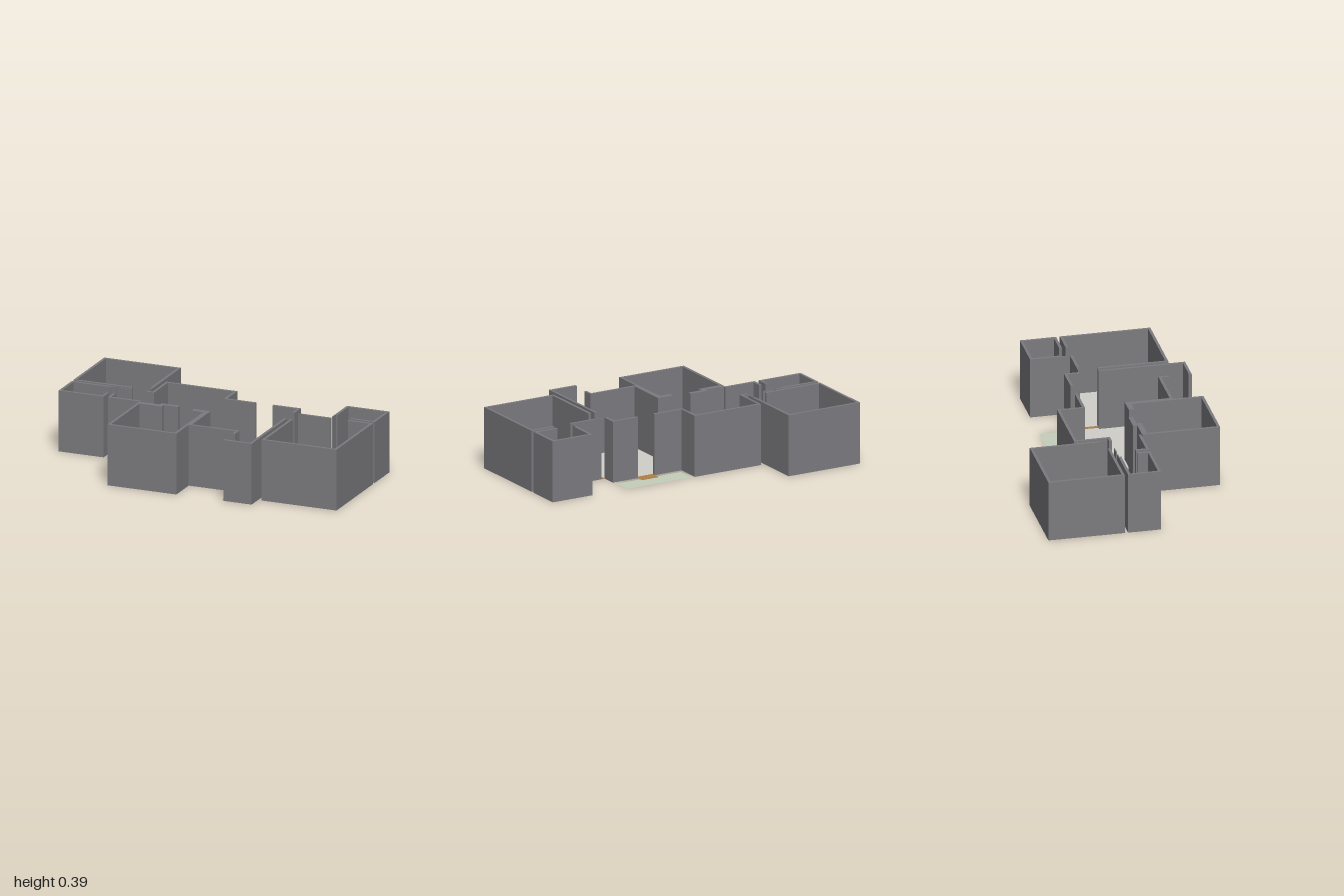
import * as THREE from 'three';

const HEIGHT = 0.387;
const THICK = 0.017;
const THIN = 0.006;

const paint = (color) => new THREE.MeshStandardMaterial({ color, side: THREE.DoubleSide });
const toShape = (pts) => new THREE.Shape(pts.map(([x, z]) => new THREE.Vector2(x, -z)));

// Mitred wall ribbon: points follow the outer edge clockwise from above, thickness goes inward
function wallGeometry(pts, t) {
  const normals = pts.slice(1).map(([x, z], i) => {
    const dx = x - pts[i][0], dz = z - pts[i][1], l = Math.hypot(dx, dz);
    return [-dz / l, dx / l];
  });
  const inner = pts.map(([x, z], i) => {
    const a = normals[i - 1] || [0, 0], b = normals[i] || [0, 0];
    return [x + (a[0] + b[0]) * t, z + (a[1] + b[1]) * t];
  });
  const geo = new THREE.ExtrudeGeometry(toShape([...pts, ...inner.reverse()]), { depth: HEIGHT, bevelEnabled: false });
  return geo.rotateX(-Math.PI / 2);
}

// Wall runs per room: full thickness and the thin returns beside doors
const WALLS = {
  backBedroomWall: {
    full: [[[-0.613, -0.123], [-1, -0.123], [-1, -0.597], [-0.495, -0.597], [-0.495, -0.17]]],
    thin: [[[-0.495, -0.17], [-0.495, -0.125]]],
  },
  smallBathWall: {
    full: [[[-0.703, 0.02], [-0.703, 0.103], [-1, 0.103], [-1, -0.102], [-0.74, -0.102]]],
    thin: [[[-0.74, -0.102], [-0.703, -0.102]]],
  },
  livingRoomWall: {
    full: [
      [[0.483, 0.055], [0.483, 0.592], [0.297, 0.592], [0.297, 0.572]],
      [[0.297, 0.455], [0.297, 0.403], [-0.014, 0.403], [-0.014, 0.107]],
      [[-0.46, 0.103], [-0.675, 0.103], [-0.675, 0.02]],
      [[-0.505, -0.107], [-0.47, -0.107]].map(([x, z]) => [x, z]).reverse().map(([x, z]) => [x, z + THICK]),
      [[-0.47, -0.09], [-0.47, -0.315], [-0.002, -0.315], [-0.002, -0.16], [0.19, -0.16]],
      [[0.305, -0.16], [0.483, -0.16], [0.483, -0.065]],
    ],
    thin: [[[-0.675, -0.102], [-0.613, -0.102]]],
  },
  terraceWall: {
    full: [[[-0.013, 0.125], [-0.013, 0.592], [-0.467, 0.592], [-0.467, 0.11]]],
    thin: [],
  },
  eastBedroomWall: {
    full: [
      [[0.84, -0.067], [1, -0.067], [1, 0.495], [0.507, 0.495], [0.507, 0.055]],
      [[0.55, -0.067], [0.725, -0.067]],
    ],
    thin: [[[0.507, -0.067], [0.55, -0.067]]],
  },
  eastBathWall: {
    full: [[[0.72, -0.13], [0.72, -0.315], [1, -0.315], [1, -0.09], [0.84, -0.09]]],
    thin: [[[0.72, -0.09], [0.72, -0.13]]],
  },
};

const rect = (x0, z0, x1, z1) => [[x0, z0], [x1, z0], [x1, z1], [x0, z1]];

// Floor outlines
const GREY = 0xd2cfca, GREEN = 0xc4cfba, BLUE = 0xb9c9d3;
const FLOORS = [
  ['backBedroomFloor', GREY, rect(-1, -0.597, -0.495, -0.123)],
  ['smallBathFloor', BLUE, rect(-1, -0.102, -0.703, 0.103)],
  ['livingRoomFloor', GREY, [
    [-0.675, -0.102], [-0.47, -0.102], [-0.47, -0.315], [-0.002, -0.315], [-0.002, -0.16],
    [0.483, -0.16], [0.483, 0.592], [0.297, 0.592], [0.297, 0.403], [-0.014, 0.403],
    [-0.014, 0.12], [-0.46, 0.12], [-0.46, 0.103], [-0.675, 0.103]]],
  ['terraceFloor', GREEN, rect(-0.467, 0.12, -0.013, 0.592)],
  ['eastBedroomFloor', GREY, rect(0.507, -0.067, 1, 0.495)],
  ['eastBathFloor', BLUE, rect(0.72, -0.315, 1, -0.09)],
  ['balconyFloor', GREEN, rect(0.02, -0.315, 0.478, -0.19)],
];

// Flat door markers: x0, z0, x1, z1
const WOOD = 0xb08048;
const DOORS = [
  ['backBedroomDoor', WOOD, -0.613, -0.126, -0.5, -0.102],
  ['smallBathDoor', WOOD, -0.7, -0.098, -0.678, 0.02],
  ['balconyDoor', WOOD, 0.19, -0.21, 0.305, -0.14],
  ['eastBedroomDoor', WOOD, 0.485, -0.065, 0.506, 0.055],
  ['eastBathDoor', WOOD, 0.725, -0.093, 0.84, -0.067],
  ['entranceDoor', 0xd05a5a, 0.283, 0.455, 0.309, 0.572],
  ['terraceDoor', 0xb4b4b4, -0.21, 0.108, -0.105, 0.136],
];

// Thick wall blocks between living room and terrace
const BLOCKS = [
  [-0.467, 0.108, -0.303, 0.142],
  [-0.33, 0.082, -0.21, 0.11],
  [-0.105, 0.108, 0, 0.142],
];

function box([x0, z0, x1, z1], y0, y1, material) {
  const mesh = new THREE.Mesh(new THREE.BoxGeometry(x1 - x0, y1 - y0, z1 - z0), material);
  mesh.position.set((x0 + x1) / 2, (y0 + y1) / 2, (z0 + z1) / 2);
  return mesh;
}

export function createModel() {
  const model = new THREE.Group();
  model.name = 'floorPlan';
  const wallMat = paint(0x7c7c80);

  for (const [name, { full, thin }] of Object.entries(WALLS)) {
    const room = new THREE.Group();
    room.name = name;
    full.forEach((run) => room.add(new THREE.Mesh(wallGeometry(run, THICK), wallMat)));
    thin.forEach((run) => room.add(new THREE.Mesh(wallGeometry(run, THIN), wallMat)));
    model.add(room);
  }

  const divider = new THREE.Group();
  divider.name = 'terraceDividerWall';
  BLOCKS.forEach((b) => divider.add(box(b, 0, HEIGHT, wallMat)));
  model.add(divider);

  for (const [name, color, pts] of FLOORS) {
    const floor = new THREE.Mesh(new THREE.ShapeGeometry(toShape(pts)).rotateX(-Math.PI / 2), paint(color));
    floor.position.y = 0.001;
    floor.name = name;
    model.add(floor);
  }

  for (const [name, color, ...area] of DOORS) {
    const door = box(area, 0, 0.003, paint(color));
    door.name = name;
    model.add(door);
  }
  return model;
}
